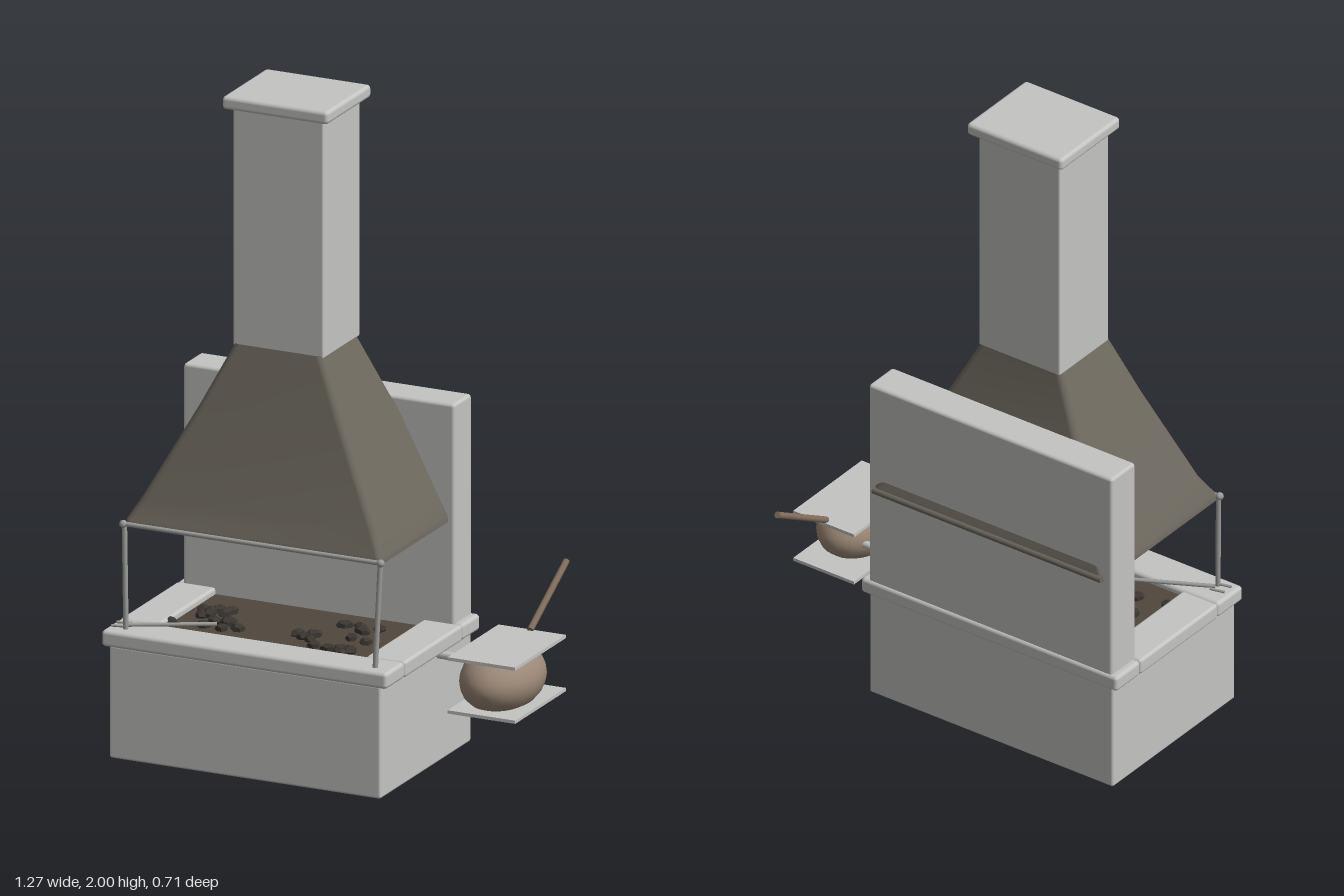
import * as THREE from 'three';
import { RoundedBoxGeometry } from 'three/addons/geometries/RoundedBoxGeometry.js';

const mat = (name, color, side = THREE.FrontSide) => {
  const m = new THREE.MeshStandardMaterial({ color, side });
  m.name = name;
  return m;
};

export function createModel() {
  const stone = mat('paleStone', 0xc4c4c2);
  const hoodMetal = mat('hoodMetal', 0x6c675d, THREE.DoubleSide);
  const clay = mat('clay', 0x9c8877);
  const wood = mat('wood', 0x806c5c);
  const steel = mat('steel', 0x9c9c9a);
  const ash = mat('ashBed', 0x50473d);
  const coal = mat('coal', 0x3c3631);

  const model = new THREE.Group();
  model.name = 'outdoorFireplace';
  const add = (name, geo, material, parent = model) => {
    const mesh = new THREE.Mesh(geo, material);
    mesh.name = name;
    parent.add(mesh);
    return mesh;
  };
  // Rounded block given by its limits on each axis
  const block = (name, [x0, x1], [y0, y1], [z0, z1], r, material) =>
    add(name, new RoundedBoxGeometry(x1 - x0, y1 - y0, z1 - z0, 2, r), material)
      .position.set((x0 + x1) / 2, (y0 + y1) / 2, (z0 + z1) / 2);
  // Round bar between two points
  const rod = (name, a, b, r, material) => {
    const from = new THREE.Vector3(...a), to = new THREE.Vector3(...b);
    const dir = to.clone().sub(from);
    const mesh = add(name, new THREE.CylinderGeometry(r, r, dir.length(), 10), material);
    mesh.position.copy(from).add(to).multiplyScalar(0.5);
    mesh.quaternion.setFromUnitVectors(new THREE.Vector3(0, 1, 0), dir.normalize());
    return mesh;
  };

  // Masonry
  block('base', [-0.615, 0.26], [0, 0.345], [-0.255, 0.345], 0.008, stone);
  block('backWall', [-0.615, 0.26], [0.34, 1.06], [-0.26, -0.143], 0.01, stone);
  block('frontLedge', [-0.637, 0.284], [0.34, 0.39], [0.23, 0.355], 0.012, stone);
  block('backLedge', [-0.637, 0.284], [0.34, 0.39], [-0.267, -0.148], 0.012, stone);
  block('rightLedge', [-0.637, -0.51], [0.34, 0.39], [-0.15, 0.232], 0.01, stone);
  block('leftLedge', [0.157, 0.284], [0.34, 0.39], [-0.15, 0.232], 0.01, stone);
  block('chimney', [-0.325, -0.033], [1.235, 1.97], [-0.12, 0.122], 0.006, stone);
  block('chimneyCap', [-0.35, -0.008], [1.96, 2], [-0.146, 0.146], 0.012, stone);

  // Fire bed with scattered coals
  const bed = add('ashBed', new THREE.BoxGeometry(0.69, 0.03, 0.4), ash);
  bed.position.set(-0.177, 0.355, 0.04);
  let seed = 7;
  const rand = () => (seed = (seed * 16807) % 2147483647) / 2147483647;
  const coals = new THREE.Group();
  coals.name = 'coals';
  model.add(coals);
  const coalGeo = new THREE.DodecahedronGeometry(0.022);
  for (const [cx, cz] of [[-0.4, 0.04], [-0.02, 0.06]]) {
    for (let i = 0; i < 16; i++) {
      const c = add('coal', coalGeo, coal, coals);
      c.position.set(cx + (rand() - 0.5) * 0.22, 0.376, cz + (rand() - 0.5) * 0.28);
      c.rotation.set(0, rand() * 6, 0);
      c.scale.set(0.8 + rand() * 0.5, 0.7, 0.7 + rand() * 0.4);
    }
  }

  // Hood: rounded rectangles joined upward; [y, xMin, xMax, zMin, zMax, corner radius]
  const sections = [
    [0.70, -0.59, 0.24, -0.272, 0.3, 0.02],
    [0.72, -0.588, 0.238, -0.27, 0.297, 0.02],
    [0.78, -0.556, 0.206, -0.245, 0.264, 0.025],
    [1.06, -0.41, 0.06, -0.15, 0.182, 0.025],
    [1.245, -0.32, -0.036, -0.112, 0.13, 0.02],
  ];
  const steps = 4, ring = 4 * (steps + 1), pos = [], index = [];
  for (const [y, x0, x1, z0, z1, r] of sections) {
    const corners = [[x1 - r, z1 - r], [x0 + r, z1 - r], [x0 + r, z0 + r], [x1 - r, z0 + r]];
    corners.forEach(([x, z], k) => {
      for (let s = 0; s <= steps; s++) {
        const a = (k + s / steps) * Math.PI / 2;
        pos.push(x + r * Math.cos(a), y, z + r * Math.sin(a));
      }
    });
  }
  for (let j = 0; j < sections.length - 1; j++) {
    for (let i = 0; i < ring; i++) {
      const a = j * ring + i, b = j * ring + (i + 1) % ring;
      index.push(a, a + ring, b, b, a + ring, b + ring);
    }
  }
  const hood = new THREE.BufferGeometry();
  hood.setAttribute('position', new THREE.Float32BufferAttribute(pos, 3));
  hood.setIndex(index);
  hood.computeVertexNormals();
  add('hood', hood, hoodMetal);
  rod('hoodBackLip', [-0.585, 0.71, -0.268], [0.235, 0.71, -0.268], 0.011, hoodMetal);

  // Rail and posts carrying the hood
  rod('frontRail', [-0.595, 0.706, 0.302], [0.243, 0.706, 0.302], 0.007, steel);
  for (const side of [-1, 1]) {
    const x = (d) => -0.175 + side * d;
    rod('hoodPost', [x(0.402), 0.385, 0.312], [x(0.413), 0.71, 0.3], 0.008, steel);
    const knob = add('postKnob', new THREE.SphereGeometry(0.012, 12, 8), steel);
    knob.position.set(x(0.415), 0.706, 0.303);
  }

  // Fire fork lying on the ledge
  rod('forkShaft', [-0.58, 0.397, 0.295], [-0.35, 0.397, 0.175], 0.006, steel);
  for (const d of [0, 0.035]) {
    rod('forkProng', [-0.62, 0.397, 0.285 + d], [-0.575, 0.397, 0.275 + d], 0.004, steel);
  }

  // Side arm with a pot held between two plates
  rod('sideArm', [0.25, 0.33, -0.037], [0.5, 0.33, -0.037], 0.012, stone);
  for (const [name, y] of [['lowerPlate', 0.25], ['upperPlate', 0.412]]) {
    const plate = add(name, new THREE.BoxGeometry(0.218, 0.01, 0.336), stone);
    plate.position.set(0.52, y, 0.043);
  }
  const profile = [[0, -0.079], [0.55, -0.079], [0.74, -0.067], [0.9, -0.045], [0.98, -0.02],
    [1, 0], [0.98, 0.02], [0.9, 0.045], [0.74, 0.067], [0.55, 0.079], [0, 0.079]];
  const pot = add('pot', new THREE.LatheGeometry(
    profile.map(([r, y]) => new THREE.Vector2(r, y)), 32), clay);
  pot.scale.set(0.116, 1, 0.167);
  pot.position.set(0.52, 0.332, 0.068);
  rod('ladleHandle', [0.52, 0.42, -0.112], [0.52, 0.56, -0.352], 0.01, wood);

  return model;
}
